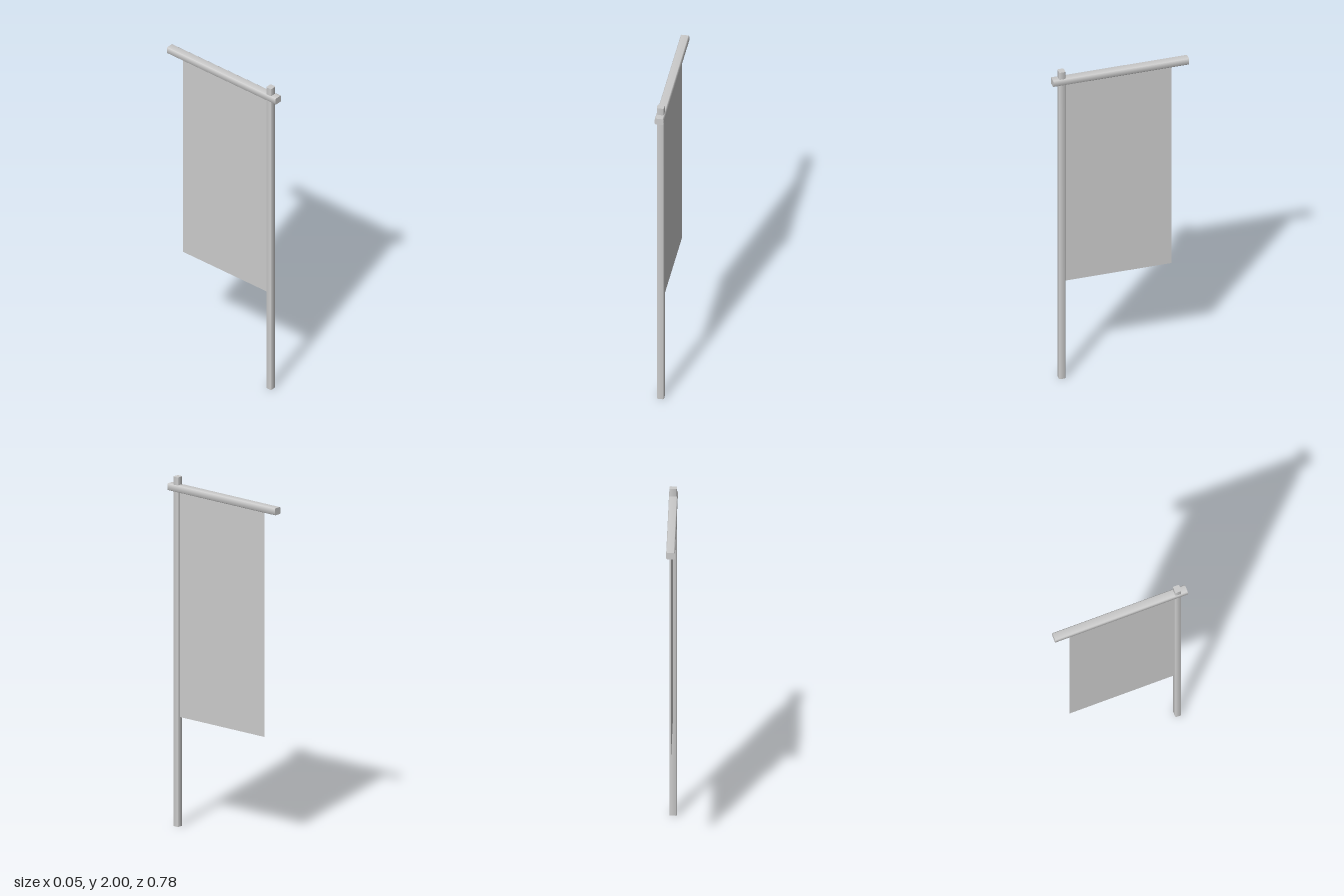
import * as THREE from 'three';
import { toCreasedNormals } from 'three/addons/utils/BufferGeometryUtils.js';

// Rounded-rectangle beam running from z = 0 to z = length
function beam(width, height, radius, length) {
  const w = width / 2, h = height / 2, r = radius;
  const s = new THREE.Shape();
  s.absarc(w - r, h - r, r, 0, Math.PI / 2);
  s.absarc(-w + r, h - r, r, Math.PI / 2, Math.PI);
  s.absarc(-w + r, -h + r, r, Math.PI, Math.PI * 1.5);
  s.absarc(w - r, -h + r, r, Math.PI * 1.5, Math.PI * 2);
  s.closePath();
  const geo = new THREE.ExtrudeGeometry(s, { depth: length, bevelEnabled: false, curveSegments: 3 });
  return toCreasedNormals(geo, 0.7);
}

export function createModel() {
  const group = new THREE.Group();
  const wood = new THREE.MeshStandardMaterial({ color: 0xcccccc });
  const fabric = new THREE.MeshStandardMaterial({ color: 0xcccccc, side: THREE.DoubleSide });

  const add = (name, geometry, material, x, y, z) => {
    const mesh = new THREE.Mesh(geometry, material);
    mesh.name = name;
    mesh.position.set(x, y, z);
    group.add(mesh);
  };

  // Upright pole
  add('pole', beam(0.04, 0.036, 0.006, 2).rotateX(-Math.PI / 2), wood, 0, 0, 0.338);

  // Horizontal bar crossing the pole near its top
  add('crossbar', beam(0.048, 0.04, 0.007, 0.784), wood, 0, 1.935, -0.392);

  // Thin cloth hanging below the bar
  const top = 1.918, bottom = 0.625, front = 0.322, back = -0.297;
  const cloth = new THREE.PlaneGeometry(front - back, top - bottom).rotateY(Math.PI / 2);
  add('bannerCloth', cloth, fabric, 0, (top + bottom) / 2, (front + back) / 2);

  return group;
}
